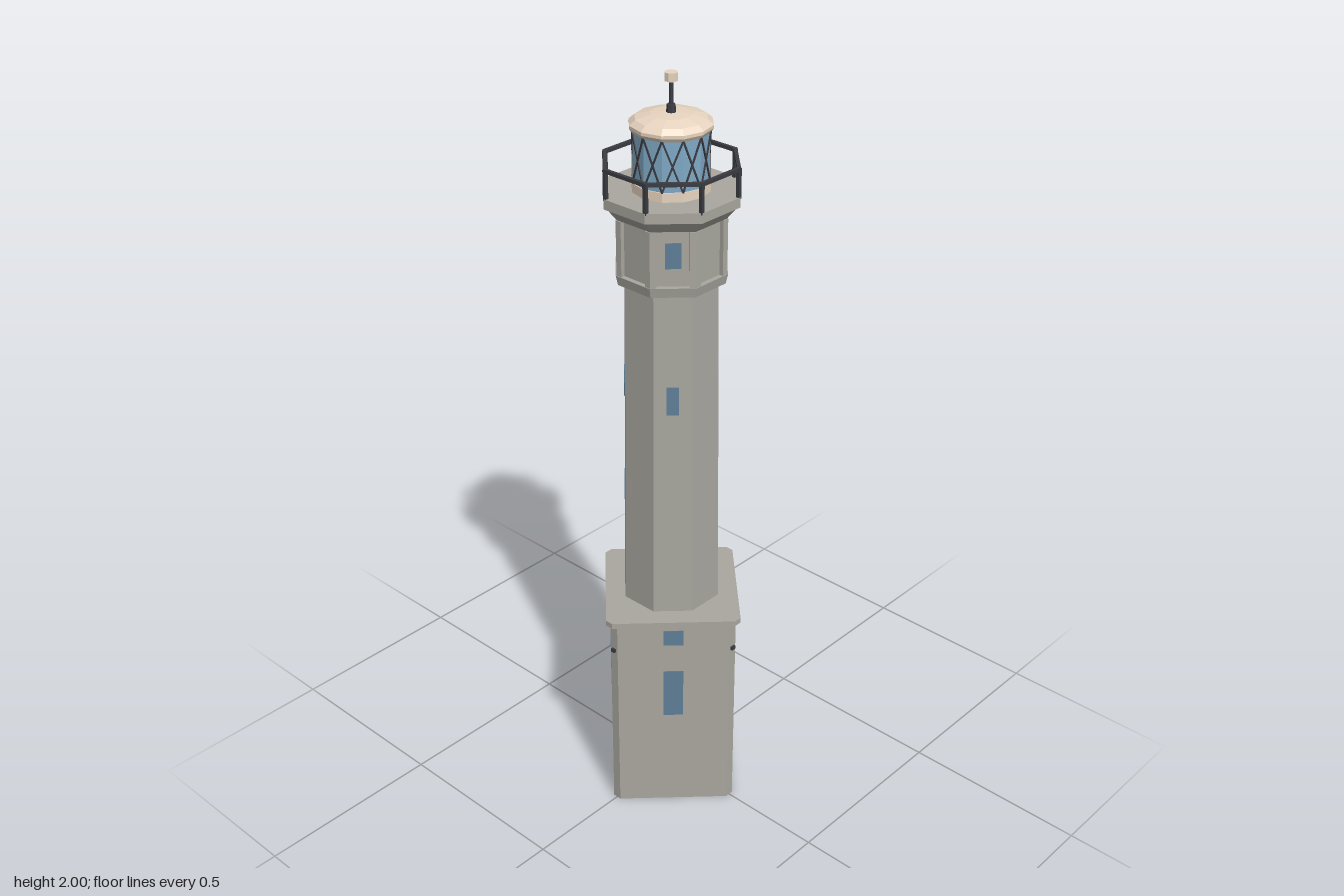
import * as THREE from 'three';

const mat = (color) => new THREE.MeshStandardMaterial({ color, flatShading: true });
const stone = mat(0xa9a79f), iron = mat(0x3b3c42), pane = mat(0x5f7f99);
const glass = mat(0x7fa9c6), cream = mat(0xe8d5c0);
const K = Math.cos(Math.PI / 8);

export function createModel() {
  const model = new THREE.Group();

  const add = (name, geometry, material, parent = model) => {
    const mesh = new THREE.Mesh(geometry, material);
    mesh.name = name;
    parent.add(mesh);
    return mesh;
  };

  // Round or many-sided drum between two heights
  const drum = (name, rBottom, rTop, y0, y1, sides, material) => {
    const mesh = add(name, new THREE.CylinderGeometry(rTop, rBottom, y1 - y0, sides), material);
    mesh.position.y = (y0 + y1) / 2;
    return mesh;
  };

  // Octagonal drum with flats facing the axes, sized by its apothem
  const octagon = (name, aBottom, aTop, y0, y1) => {
    drum(name, aBottom / K, aTop / K, y0, y1, 8, stone).rotation.y = Math.PI / 8;
  };

  // Upright prism from a plan outline
  const prism = (name, points, y0, y1) => {
    const shape = new THREE.Shape(points.map(([x, z]) => new THREE.Vector2(x, z)));
    const geometry = new THREE.ExtrudeGeometry(shape, { depth: y1 - y0, bevelEnabled: false });
    geometry.rotateX(-Math.PI / 2);
    add(name, geometry, stone).position.y = y0;
  };

  // Straight square bar joining two points
  const bar = (name, a, b, size, parent) => {
    const mesh = add(name, new THREE.BoxGeometry(size, size, a.distanceTo(b) + size * 0.5), iron, parent);
    mesh.position.copy(a).add(b).multiplyScalar(0.5);
    mesh.lookAt(b);
  };

  // Flat window on a wall facing the given angle
  const windowPane = (name, angle, dist, y, w, h, tilt = 0) => {
    const mesh = add(name, new THREE.BoxGeometry(w, h, 0.004), pane);
    mesh.position.set(Math.sin(angle) * dist, y, Math.cos(angle) * dist);
    mesh.rotation.set(-tilt, angle, 0, 'YXZ');
  };

  const ring = (radius, angle, y) =>
    new THREE.Vector3(Math.sin(angle) * radius, y, Math.cos(angle) * radius);

  // Diamond-shaped base with clipped corners
  const diamond = (r, c) => [
    [r, -c], [r, c], [c, r], [-c, r], [-r, c], [-r, -c], [-c, -r], [c, -r],
  ];
  prism('base', diamond(0.218, 0.012), 0, 0.585);
  prism('baseCap', diamond(0.235, 0.011), 0.585, 0.6);
  for (let i = 0; i < 4; i++) {
    const a = Math.PI / 4 + (i * Math.PI) / 2;
    windowPane('baseWindow', a, 0.162, 0.363, 0.052, 0.145);
    windowPane('baseUpperWindow', a, 0.162, 0.543, 0.052, 0.046);
    // Small fitting on each clipped corner
    const knob = add('cornerFitting', new THREE.BoxGeometry(0.012, 0.01, 0.012), iron);
    knob.position.copy(ring(0.218, (i * Math.PI) / 2, 0.503));
  }

  // Tapering octagonal shaft with slit windows on the diagonal faces
  octagon('shaft', 0.122, 0.111, 0.6, 1.5);
  const slits = [[1, 1.217], [1, 0.917], [-1, 1.217], [3, 1.07], [5, 1.217], [5, 0.917]];
  for (const [step, y] of slits) {
    const dist = 0.122 - ((y - 0.6) / 0.9) * 0.011;
    windowPane('shaftWindow', (step * Math.PI) / 4, dist, y, 0.03, 0.075, 0.0122);
  }

  // Watch room with corner piers and recessed panels
  octagon('watchRoomSill', 0.128, 0.133, 1.5, 1.525);
  const plan = [];
  const half = 0.131 * Math.tan(Math.PI / 8), pier = half - 0.016;
  for (let i = 0; i < 8; i++) {
    const a = (i * Math.PI) / 4, c = Math.cos(a), s = Math.sin(a);
    for (const [d, t] of [[0.131, -half], [0.131, -pier], [0.12, -pier], [0.12, pier], [0.131, pier]]) {
      plan.push([d * c - t * s, d * s + t * c]);
    }
  }
  prism('watchRoom', plan, 1.525, 1.665);
  for (let i = 0; i < 4; i++) {
    windowPane('watchRoomWindow', Math.PI / 4 + (i * Math.PI) / 2, 0.1205, 1.602, 0.038, 0.064);
  }

  // Flared cornice and gallery floor
  octagon('cornice', 0.128, 0.152, 1.665, 1.697);
  octagon('galleryFloor', 0.158, 0.158, 1.697, 1.722);

  // Gallery railing
  const railing = new THREE.Group();
  railing.name = 'railing';
  model.add(railing);
  for (let i = 0; i < 8; i++) {
    const a = ((i + 0.5) * Math.PI) / 4, r = 0.153 / K;
    bar('railPost', ring(r, a, 1.72), ring(r, a, 1.79), 0.009, railing);
    bar('handrail', ring(r, a, 1.79), ring(r, a + Math.PI / 4, 1.79), 0.009, railing);
  }

  // Glazed lantern with crossed glazing bars
  drum('lanternBase', 0.095, 0.095, 1.722, 1.745, 12, cream);
  drum('lanternGlass', 0.092, 0.092, 1.745, 1.868, 12, glass);
  const lattice = new THREE.Group();
  lattice.name = 'lattice';
  model.add(lattice);
  for (let i = 0; i < 12; i++) {
    const a = (i * Math.PI) / 6, b = a + Math.PI / 6;
    bar('glazingBar', ring(0.093, a, 1.745), ring(0.093, b, 1.868), 0.004, lattice);
    bar('glazingBar', ring(0.093, b, 1.745), ring(0.093, a, 1.868), 0.004, lattice);
  }

  // Shallow faceted roof
  const roof = [[0, 1.866], [0.094, 1.866], [0.1, 1.875], [0.1, 1.883], [0.086, 1.895], [0.05, 1.904], [0, 1.907]];
  add('roof', new THREE.LatheGeometry(roof.map(([x, y]) => new THREE.Vector2(x, y)), 12), cream);

  // Mast with collar and cap
  drum('mastCollar', 0.012, 0.01, 1.903, 1.925, 8, iron);
  drum('mast', 0.005, 0.005, 1.92, 1.982, 8, iron);
  drum('mastCap', 0.016, 0.016, 1.98, 2.0, 8, cream).rotation.y = Math.PI / 8;

  return model;
}
